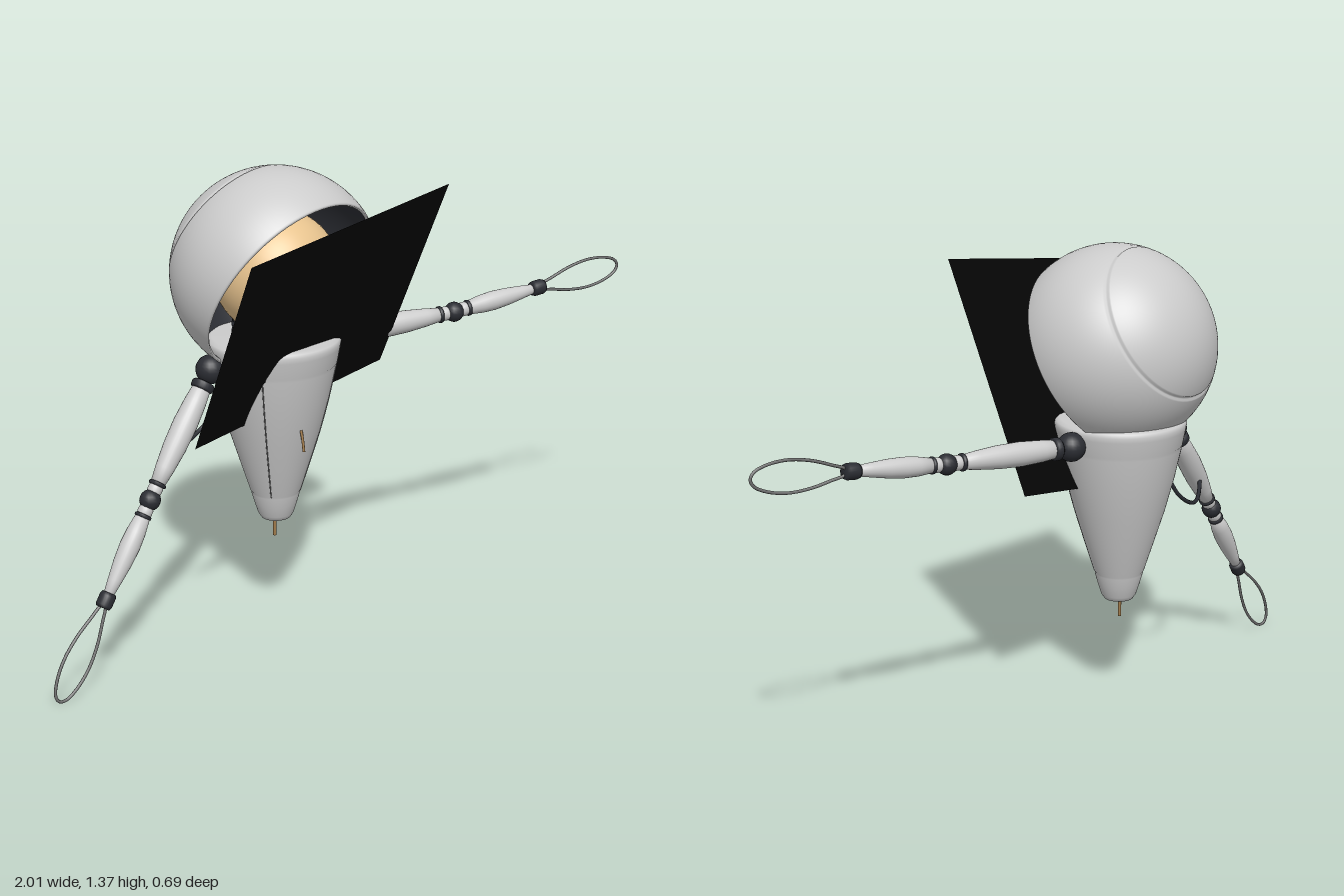
import * as THREE from 'three';

const V = (x, y, z) => new THREE.Vector3(x, y, z);
const paint = (color) => new THREE.MeshStandardMaterial({ color, side: THREE.DoubleSide });
const white = paint(0xcccccc), dark = paint(0x2b2d33), black = paint(0x050505);
const skin = paint(0xe8c48f), brass = paint(0xa07a4a), seamGrey = paint(0x707070);

function add(parent, name, geometry, material, pos) {
  const m = new THREE.Mesh(geometry, material);
  m.name = name;
  if (pos) m.position.copy(pos);
  parent.add(m);
  return m;
}

// Lathe from [radius, height] pairs
const lathe = (pts, n = 48) => new THREE.LatheGeometry(pts.map(([r, y]) => new THREE.Vector2(r, y)), n);

const tube = (pts, r, closed = false, n = 64) =>
  new THREE.TubeGeometry(new THREE.CatmullRomCurve3(pts, closed), n, r, 8, closed);

// Helmet with an open front, a face ball inside and a square visor plate
function makeHead() {
  const head = new THREE.Group();
  head.name = 'head';
  const n = V(0.186, -0.496, 0.848).normalize();
  const u = V(0.7, 0.1, -0.095).normalize();
  u.addScaledVector(n, -u.dot(n)).normalize();
  const w = n.clone().cross(u);
  head.quaternion.setFromRotationMatrix(new THREE.Matrix4().makeBasis(u, w, n));
  head.position.set(-0.225, 1.075, -0.05);

  const R = 0.297, Ri = 0.287, open = Math.asin(0.06 / R), groove = Math.asin(-0.185 / R);
  const arc = (r, dip) => {
    const pts = [];
    for (let i = 0; i <= 120; i++) {
      const a = -Math.PI / 2 + (open + Math.PI / 2) * i / 120;
      const rr = dip && Math.abs(a - groove) < 0.013 ? r - 0.004 : r;
      pts.push([Math.max(0, rr * Math.cos(a)), rr * Math.sin(a)]);
    }
    return pts;
  };
  const outer = arc(R, true), inner = arc(Ri, false);
  outer.push([R * Math.cos(open) - 0.004, 0.064], inner[inner.length - 1]);
  add(head, 'helmetShell', lathe(outer, 72).rotateX(Math.PI / 2), white);
  add(head, 'helmetLining', lathe(inner.reverse(), 72).rotateX(Math.PI / 2), dark);
  add(head, 'faceBall', new THREE.SphereGeometry(0.178, 48, 32), skin);
  add(head, 'visorPlate', new THREE.PlaneGeometry(0.713, 0.713), black, V(0, 0, 0.195));
  return head;
}

// Tapered body with seams, neck rings, zip pull and bottom peg
function makeBody() {
  const body = new THREE.Group();
  body.name = 'body';
  body.position.set(-0.208, 0, -0.095);
  add(body, 'torso', lathe([
    [0, 0.318], [0.03, 0.319], [0.043, 0.324], [0.052, 0.338], [0.062, 0.37], [0.071, 0.402],
    [0.07, 0.406], [0.074, 0.411], [0.102, 0.5], [0.133, 0.6], [0.159, 0.7], [0.179, 0.793],
    [0.177, 0.797], [0.181, 0.802], [0.19, 0.85], [0.192, 0.864], [0.188, 0.874], [0.176, 0.88], [0, 0.882],
  ], 64), white);
  for (const s of [-1, 1]) {
    const a = s * 0.76;
    const path = [[0.0725, 0.408], [0.102, 0.5], [0.133, 0.6], [0.159, 0.7], [0.179, 0.793]]
      .map(([r, y]) => V(r * Math.sin(a), y, r * Math.cos(a)));
    add(body, 'frontPanelSeam', tube(path, 0.0018, false, 24), seamGrey);
  }
  for (let i = 0; i < 3; i++) {
    add(body, 'neckRing', new THREE.TorusGeometry(0.105, 0.014, 10, 40).rotateX(Math.PI / 2), dark, V(0, 0.892 + i * 0.022, 0));
  }
  add(body, 'bottomPeg', new THREE.CylinderGeometry(0.005, 0.005, 0.06, 10), brass, V(-0.005, 0.293, 0));
  add(body, 'zipPull', tube([V(-0.003, 0.632, 0.14), V(-0.003, 0.605, 0.148), V(-0.004, 0.572, 0.155)], 0.004, false, 12), brass);
  return body;
}

// Jointed arm from shoulder to elbow to wrist, ending in a wire loop
function makeArm(name, shoulder, elbow, wrist, tip) {
  const arm = new THREE.Group();
  arm.name = name;
  // A turned piece between fractions of the line a-b
  const turned = (part, a, b, profile, material) => {
    const d = b.clone().sub(a), len = d.length();
    const m = add(arm, part, lathe(profile.map(([r, t]) => [r, t * len]), 24), material, a);
    m.quaternion.setFromUnitVectors(V(0, 1, 0), d.normalize());
  };
  const ring = (part, a, b, t, r, h, material) =>
    turned(part, a, b, [[0, t - h], [r * 0.85, t - h], [r, t - h * 0.6], [r, t + h * 0.6], [r * 0.85, t + h], [0, t + h]], material);

  add(arm, 'shoulderJoint', new THREE.SphereGeometry(0.042, 20, 14), dark, shoulder);
  ring('shoulderCuff', shoulder, elbow, 0.13, 0.033, 0.03, dark);
  turned('upperArm', shoulder, elbow,
    [[0, 0.1], [0.024, 0.1], [0.031, 0.25], [0.035, 0.42], [0.033, 0.6], [0.027, 0.76], [0.021, 0.87], [0, 0.87]], white);
  ring('elbowRing', shoulder, elbow, 0.88, 0.025, 0.014, dark);
  ring('elbowCollar', shoulder, elbow, 0.92, 0.021, 0.03, white);
  add(arm, 'elbowJoint', new THREE.SphereGeometry(0.03, 14, 10), dark, elbow);
  ring('elbowCollar', elbow, wrist, 0.11, 0.021, 0.04, white);
  ring('elbowRing', elbow, wrist, 0.16, 0.024, 0.018, dark);
  turned('forearm', elbow, wrist,
    [[0, 0.17], [0.021, 0.17], [0.027, 0.32], [0.029, 0.46], [0.026, 0.63], [0.02, 0.8], [0.014, 0.95], [0, 0.95]], white);
  ring('wristJoint', elbow, wrist, 1, 0.023, 0.075, dark);

  // Teardrop hand loop
  const along = tip.clone().sub(wrist), side = along.clone().cross(V(0, 0, 1)).normalize();
  const half = [[0.05, 0.006], [0.2, 0.021], [0.4, 0.037], [0.62, 0.044], [0.82, 0.036], [0.95, 0.019]];
  const at = (t, s) => wrist.clone().addScaledVector(along, t).addScaledVector(side, s);
  const pts = [...half.map(([t, s]) => at(t, s)), at(0.985, 0), ...half.slice().reverse().map(([t, s]) => at(t, -s))];
  add(arm, 'handLoop', tube(pts, 0.0045, true, 80), seamGrey);
  return arm;
}

export function createModel() {
  const model = new THREE.Group();
  model.name = 'floatingFigure';
  model.add(makeHead(), makeBody());
  model.add(makeArm('leftArm', V(0, 0.83, -0.11), V(0.405, 0.847, -0.05), V(0.7, 0.88, -0.016), V(1.0, 0.912, 0.015)));
  model.add(makeArm('rightArm', V(-0.41, 0.81, -0.11), V(-0.65, 0.493, -0.05), V(-0.82, 0.25, -0.012), V(-0.995, 0.002, 0.02)));
  // Hanging cord from the back of the body to the right arm
  add(model, 'cord', tube([V(-0.3, 0.7, -0.2), V(-0.34, 0.64, -0.205), V(-0.4, 0.6, -0.195),
    V(-0.46, 0.587, -0.165), V(-0.52, 0.605, -0.12), V(-0.56, 0.635, -0.08)], 0.006), dark);
  return model;
}
